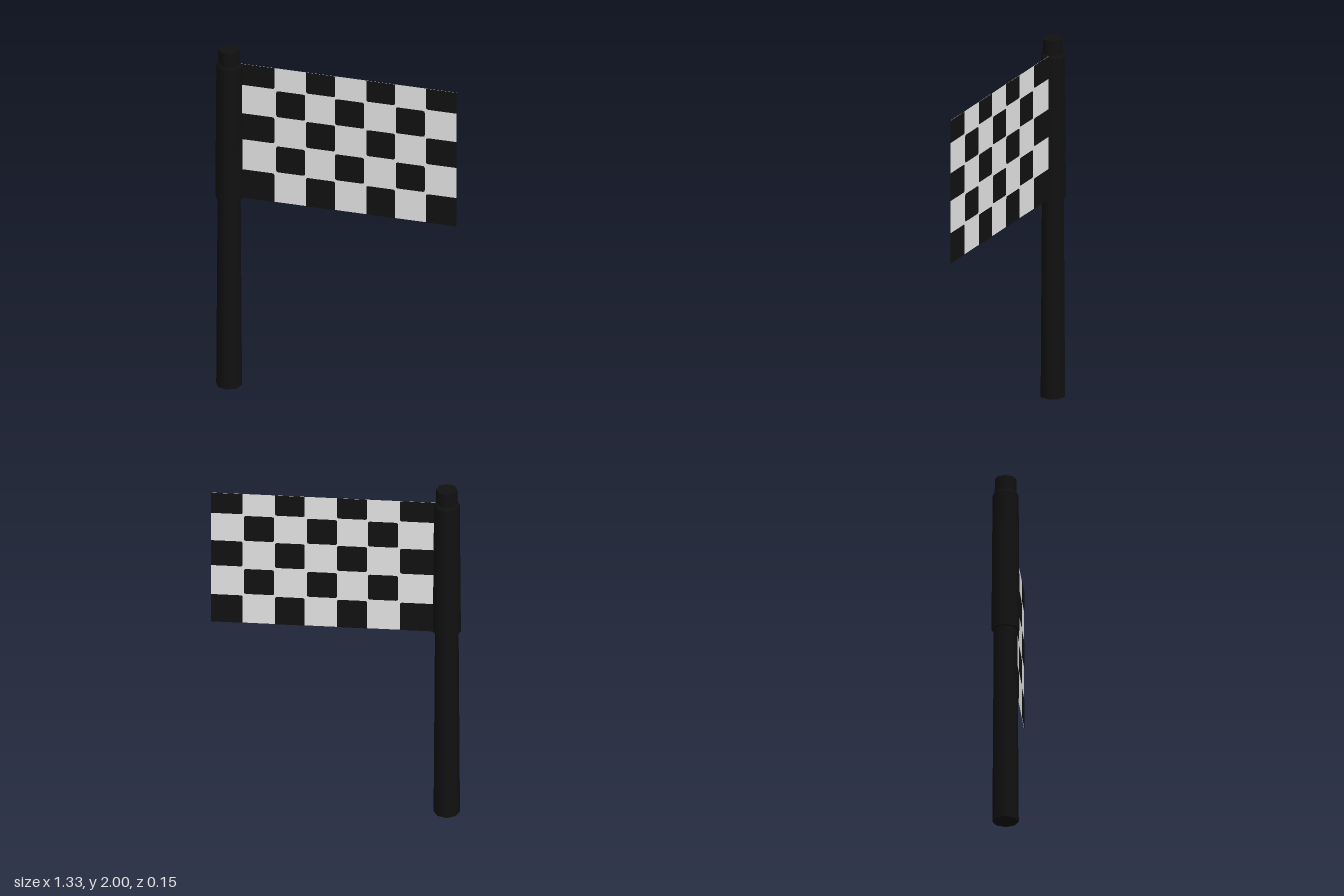
import * as THREE from 'three';

const black = new THREE.MeshStandardMaterial({ name: 'black', color: 0x111111 });
const white = new THREE.MeshStandardMaterial({ name: 'white', color: 0xf4f4f4, side: THREE.DoubleSide });

const POLE_X = -0.593;
const FLAG_Z = 0.008 * -1;
const BOTTOM = 1.12, TOP = 1.92, RIGHT = 0.66;

// Eight-sided tapered tube standing between two heights
function tube(name, rTop, rBottom, y0, y1) {
  const mesh = new THREE.Mesh(new THREE.CylinderGeometry(rTop, rBottom, y1 - y0, 8), black);
  mesh.name = name;
  mesh.position.set(POLE_X, (y0 + y1) / 2, 0);
  mesh.rotation.y = 0.07;
  return mesh;
}

// Square with softened corners, kept sharp where it meets the cloth border
function squareShape(x0, x1, y0, y1) {
  const r = (x, y) => (x >= RIGHT || x <= POLE_X || y >= TOP || y <= BOTTOM ? 0 : 0.013);
  const a = r(x0, y0), b = r(x1, y0), c = r(x1, y1), d = r(x0, y1);
  const s = new THREE.Shape();
  s.moveTo(x0 + a, y0);
  s.lineTo(x1 - b, y0);
  if (b) s.quadraticCurveTo(x1, y0, x1, y0 + b);
  s.lineTo(x1, y1 - c);
  if (c) s.quadraticCurveTo(x1, y1, x1 - c, y1);
  s.lineTo(x0 + d, y1);
  if (d) s.quadraticCurveTo(x0, y1, x0, y1 - d);
  s.lineTo(x0, y0 + a);
  if (a) s.quadraticCurveTo(x0, y0, x0 + a, y0);
  return s;
}

export function createModel() {
  const model = new THREE.Group();
  model.name = 'checkeredFlag';

  // Pole and the sleeve that holds the cloth
  model.add(tube('pole', 0.057, 0.07, 0, 2));
  model.add(tube('sleeve', 0.069, 0.075, BOTTOM, TOP - 0.015));
  model.add(tube('sleeveTopBevel', 0.062, 0.069, TOP - 0.015, TOP));

  // Cloth
  const cloth = new THREE.Mesh(new THREE.PlaneGeometry(RIGHT - POLE_X, TOP - BOTTOM), white);
  cloth.name = 'cloth';
  cloth.position.set((RIGHT + POLE_X) / 2, (TOP + BOTTOM) / 2, FLAG_Z);
  model.add(cloth);

  // Dark squares, alternating by row, on both faces of the cloth
  const rows = [[1.795, TOP], [1.63, 1.785], [1.47, 1.625], [1.30, 1.455], [BOTTOM, 1.29]];
  const evenColumns = [[POLE_X, -0.345], [-0.17, -0.01], [0.162, 0.32], [0.492, RIGHT]];
  const oddColumns = [[-0.335, -0.175], [-0.01, 0.15], [0.325, 0.485]];
  const shapes = rows.flatMap(([y0, y1], i) =>
    (i % 2 ? oddColumns : evenColumns).map(([x0, x1]) => squareShape(x0, x1, y0, y1)));
  const front = new THREE.Mesh(new THREE.ShapeGeometry(shapes, 4), black);
  front.name = 'frontSquares';
  front.position.z = FLAG_Z + 0.002;
  model.add(front);

  // Back face: same squares mirrored in x, then turned around
  const mirrored = rows.flatMap(([y0, y1], i) =>
    (i % 2 ? oddColumns : evenColumns).map(([x0, x1]) => {
      const pts = squareShape(x0, x1, y0, y1).getPoints(4);
      return new THREE.Shape(pts.map((p) => new THREE.Vector2(-p.x, p.y)).reverse());
    }));
  const back = new THREE.Mesh(new THREE.ShapeGeometry(mirrored), black);
  back.name = 'backSquares';
  back.rotation.y = Math.PI;
  back.position.z = FLAG_Z - 0.002;
  model.add(back);

  return model;
}
